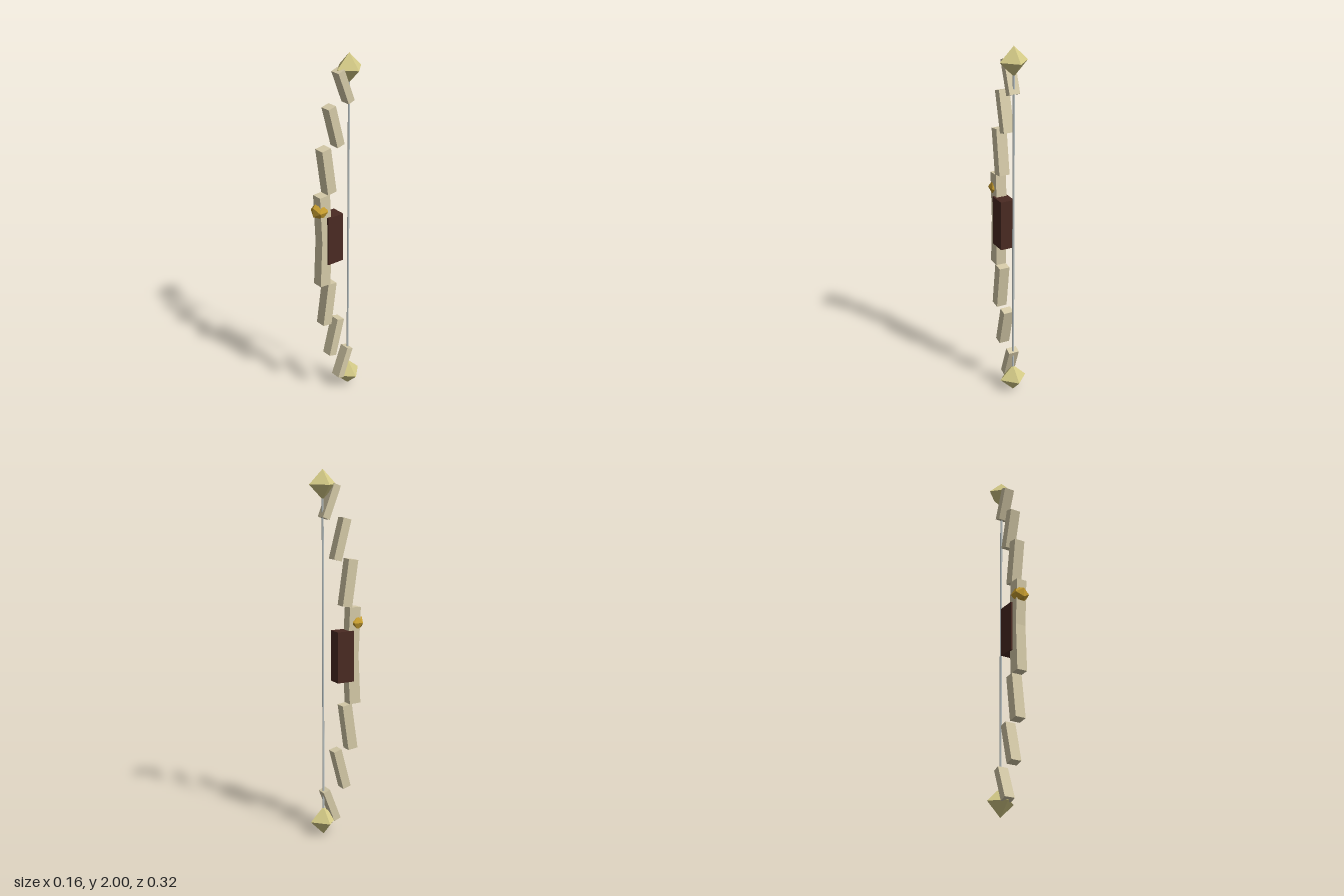
import * as THREE from 'three';

export function createModel() {
  const model = new THREE.Group();
  model.name = 'bow';

  const mat = (name, color) => {
    const m = new THREE.MeshStandardMaterial({ color });
    m.name = name;
    return m;
  };
  const bone = mat('bone', 0xd5caa8);
  const paleTip = mat('paleTip', 0xd6cc88);
  const leather = mat('darkLeather', 0x4a2a22);
  const gold = mat('gold', 0xc99f30);
  const cord = mat('cord', 0xc0c8c8);

  const add = (name, geometry, material, x, y, z) => {
    const mesh = new THREE.Mesh(geometry, material);
    mesh.name = name;
    mesh.position.set(x, y, z);
    model.add(mesh);
    return mesh;
  };

  // Limb segments, from the grip outwards
  const segments = [
    { dy: 0.132, z: 0.095, length: 0.27, depth: 0.066, tilt: 2.8 },
    { dy: 0.398, z: 0.071, length: 0.255, depth: 0.057, tilt: 8.3 },
    { dy: 0.633, z: 0.023, length: 0.226, depth: 0.048, tilt: 14.8 },
    { dy: 0.833, z: -0.041, length: 0.186, depth: 0.041, tilt: 21 },
  ];
  for (const side of [1, -1]) {
    const label = side > 0 ? 'upper' : 'lower';
    segments.forEach((s, i) => {
      const box = new THREE.BoxGeometry(0.06, s.length, s.depth);
      const limb = add(`${label}Limb${i + 1}`, box, bone, 0, 1 + side * s.dy, s.z);
      limb.rotation.x = side * THREE.MathUtils.degToRad(s.tilt);
    });
    // Pointed limb end
    add(`${label}Tip`, new THREE.OctahedronGeometry(0.079), paleTip, 0, 1 + side * 0.921, -0.08);
  }

  // Grip behind the middle of the limbs
  add('grip', new THREE.BoxGeometry(0.08, 0.28, 0.1), leather, 0, 1, 0.038);

  // Gem set in the front above the grip
  add('gem', new THREE.IcosahedronGeometry(0.049), gold, 0, 1.18, 0.116);

  // String between the tips
  const string = new THREE.CylinderGeometry(0.006, 0.006, 1.84, 6);
  add('bowString', string, cord, 0, 1, -0.08);

  return model;
}
